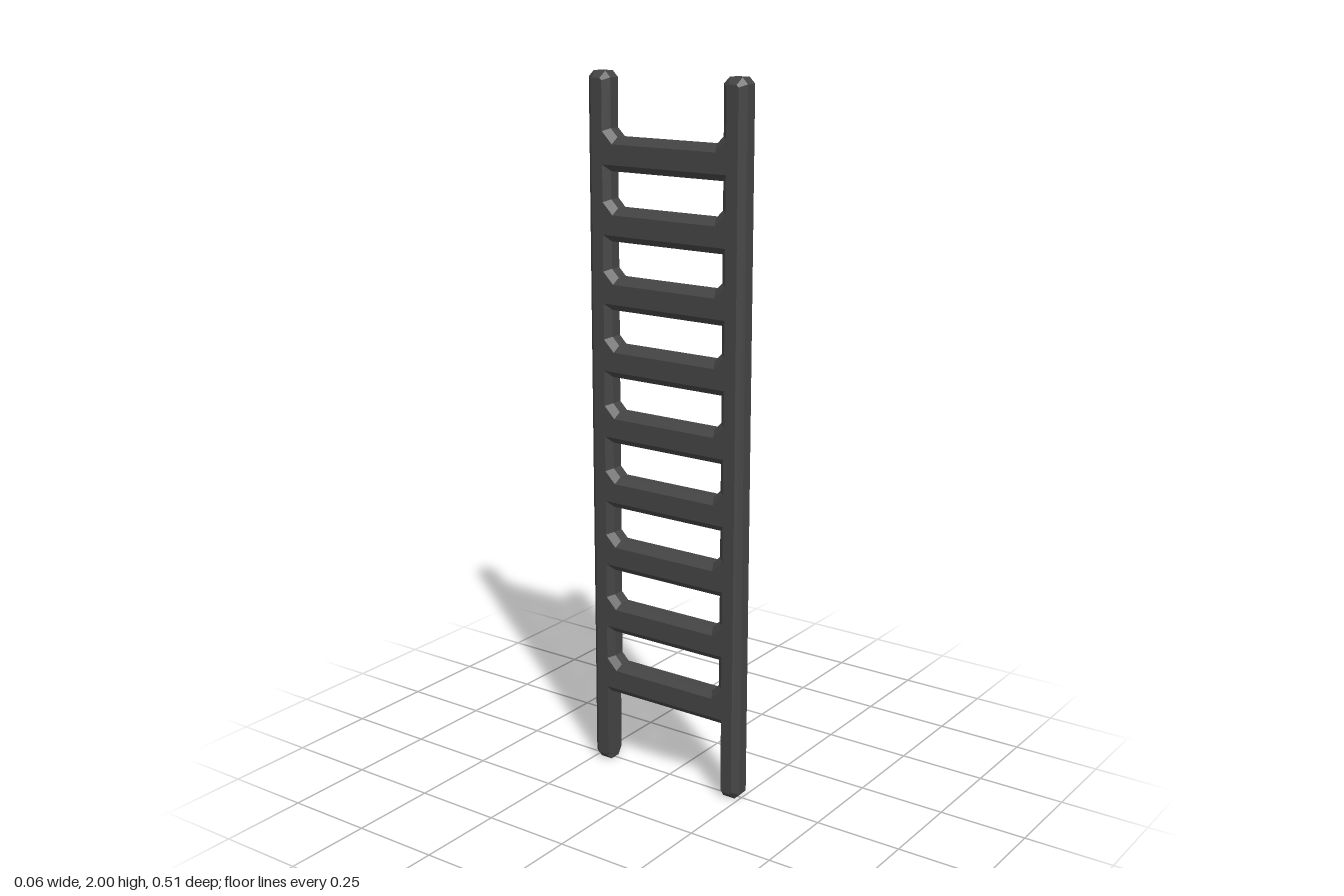
import * as THREE from 'three';

const BEVEL = 0.018;      // in-plane chamfer of every edge
const BEVEL_X = 0.016;    // chamfer through the thickness
const HALF_X = 0.0325;    // half thickness
const OUTER = 0.253, INNER = 0.181, TOP = 2;
const PITCH = 0.1895, RUNGS = 9;
const LOWEST_TOP = 0.312, LOWEST_BOTTOM = 0.22, GAP = 0.098;

const toPoints = (list) => list.map(([z, y]) => new THREE.Vector2(z, y));

// mirror half an outline (listed from the +z side) to close it on -z
const mirrored = (half) => toPoints([...half, ...half.map(([z, y]) => [-z, y]).reverse()]);

export function createModel() {
  const group = new THREE.Group();
  group.name = 'ladder';

  // flat face outline; the bevel grows it to its full size
  const zo = OUTER - BEVEL, zi = INNER + BEVEL;
  const tip = 0.006, gusset = 0.033;
  const top = TOP - BEVEL, foot = BEVEL;
  const topRung = LOWEST_TOP + (RUNGS - 1) * PITCH - BEVEL;
  const outline = mirrored([
    [zi, LOWEST_BOTTOM + BEVEL],
    [zi, foot + tip], [zi + tip, foot], [zo - tip, foot], [zo, foot + tip],
    [zo, top - tip], [zo - tip, top], [zi + tip, top], [zi, top - tip],
    [zi, topRung + gusset], [zi - gusset, topRung],
  ]);
  const shape = new THREE.Shape(outline);

  // openings between rungs, with gussets in the lower corners
  for (let i = 0; i < RUNGS - 1; i++) {
    const low = LOWEST_TOP + i * PITCH - BEVEL;
    const high = LOWEST_TOP + i * PITCH + GAP + BEVEL;
    shape.holes.push(new THREE.Path(mirrored([
      [zi - gusset, low], [zi, low + gusset], [zi, high],
    ])));
  }

  const depth = 2 * (HALF_X - BEVEL_X);
  const geometry = new THREE.ExtrudeGeometry(shape, {
    depth, bevelEnabled: true, bevelSegments: 1,
    bevelSize: BEVEL, bevelThickness: BEVEL_X, curveSegments: 1,
  });
  geometry.translate(0, 0, -depth / 2);
  geometry.rotateY(-Math.PI / 2);

  // the inner sides of the legs below the lowest rung are flat
  const pos = geometry.attributes.position;
  for (let i = 0; i < pos.count; i++) {
    const z = pos.getZ(i);
    if (pos.getY(i) < LOWEST_BOTTOM + BEVEL + 0.005 && Math.abs(z) < zi) {
      pos.setZ(i, Math.sign(z) * zi);
    }
  }
  geometry.computeVertexNormals();

  const material = new THREE.MeshStandardMaterial({ color: 0x444444, flatShading: true });
  const frame = new THREE.Mesh(geometry, material);
  frame.name = 'railsAndRungs';
  group.add(frame);
  return group;
}
